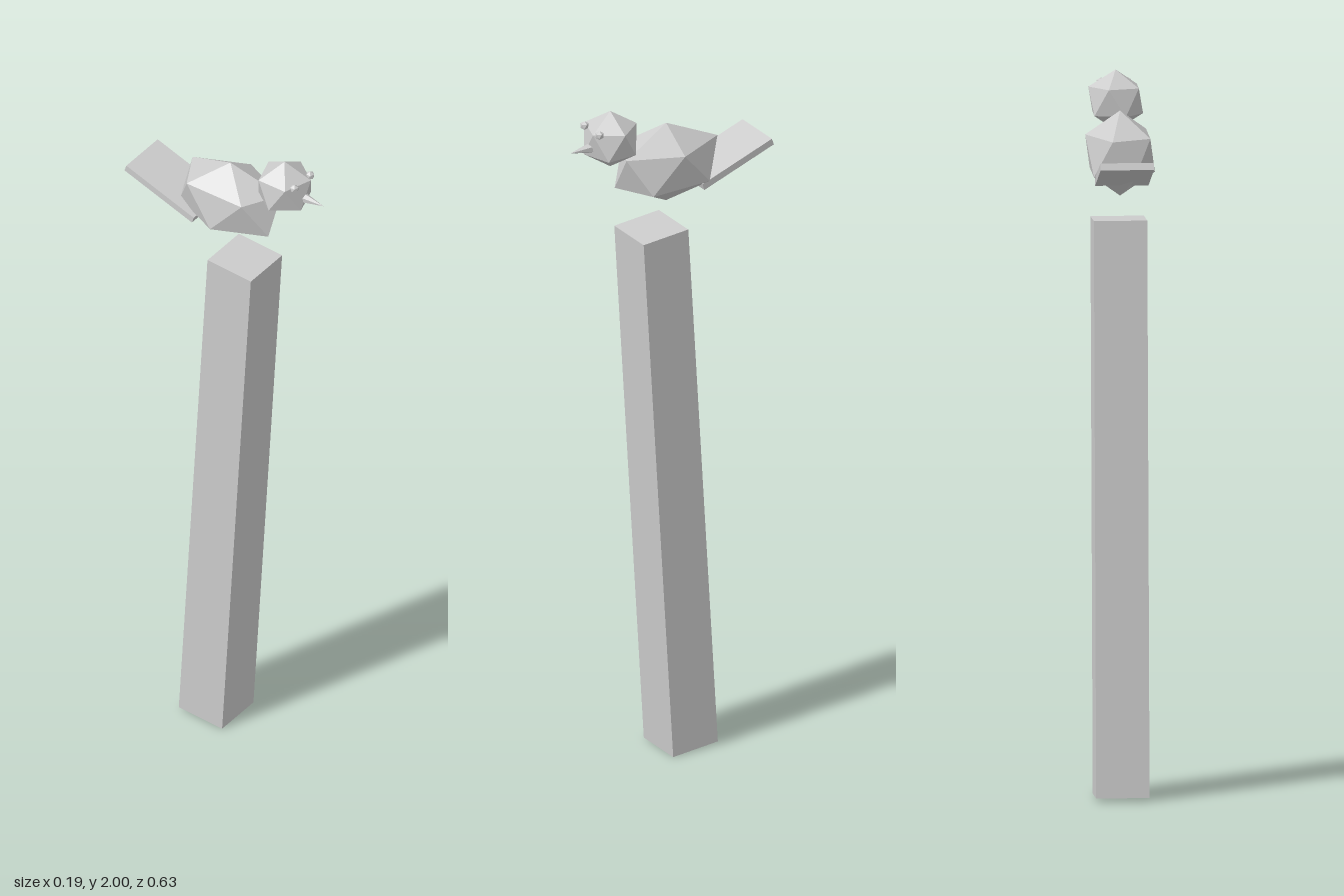
import * as THREE from 'three';
import { ConvexGeometry } from 'three/addons/geometries/ConvexGeometry.js';

// Icosahedron standing on a pole: two tips and two staggered five-point rings
function icoGeometry() {
  const points = [new THREE.Vector3(0, 1, 0), new THREE.Vector3(0, -1, 0)];
  const h = 1 / Math.sqrt(5), r = 2 * h;
  for (let i = 0; i < 5; i++) {
    const a = (i * Math.PI * 2) / 5;
    points.push(new THREE.Vector3(r * Math.cos(a), h, r * Math.sin(a)));
    points.push(new THREE.Vector3(-r * Math.cos(a), -h, -r * Math.sin(a)));
  }
  return new ConvexGeometry(points);
}

export function createModel() {
  const model = new THREE.Group();
  model.name = 'birdOnPost';
  const grey = new THREE.MeshStandardMaterial({ color: 0xcccccc, flatShading: true });
  grey.name = 'lightGrey';

  function add(name, geometry, x, y, z) {
    const mesh = new THREE.Mesh(geometry, grey);
    mesh.name = name;
    mesh.position.set(x, y, z);
    model.add(mesh);
    return mesh;
  }

  // Leaning square post
  add('post', new THREE.BoxGeometry(0.148, 1.604, 0.148), 0, 0.805, -0.005).rotation.x = 0.061;

  // Faceted body and head
  const ico = icoGeometry();
  add('body', ico, 0, 1.796, -0.005).scale.set(0.108, 0.119, 0.177);
  add('head', ico, 0, 1.916, 0.18).scale.setScalar(0.085);

  // Eyes
  for (const [name, side] of [['leftEye', 1], ['rightEye', -1]]) {
    add(name, ico, side * 0.0375, 1.957, 0.24).scale.setScalar(0.013);
  }

  // Pointed beak
  const beak = new THREE.ConeGeometry(0.018, 0.08, 6);
  beak.rotateX(Math.PI / 2);
  add('beak', beak, 0, 1.905, 0.2725);

  // Flat tail, rising to the back
  add('tail', new THREE.BoxGeometry(0.148, 0.02, 0.243), 0, 1.766, -0.195).rotation.x = 0.33;

  return model;
}
